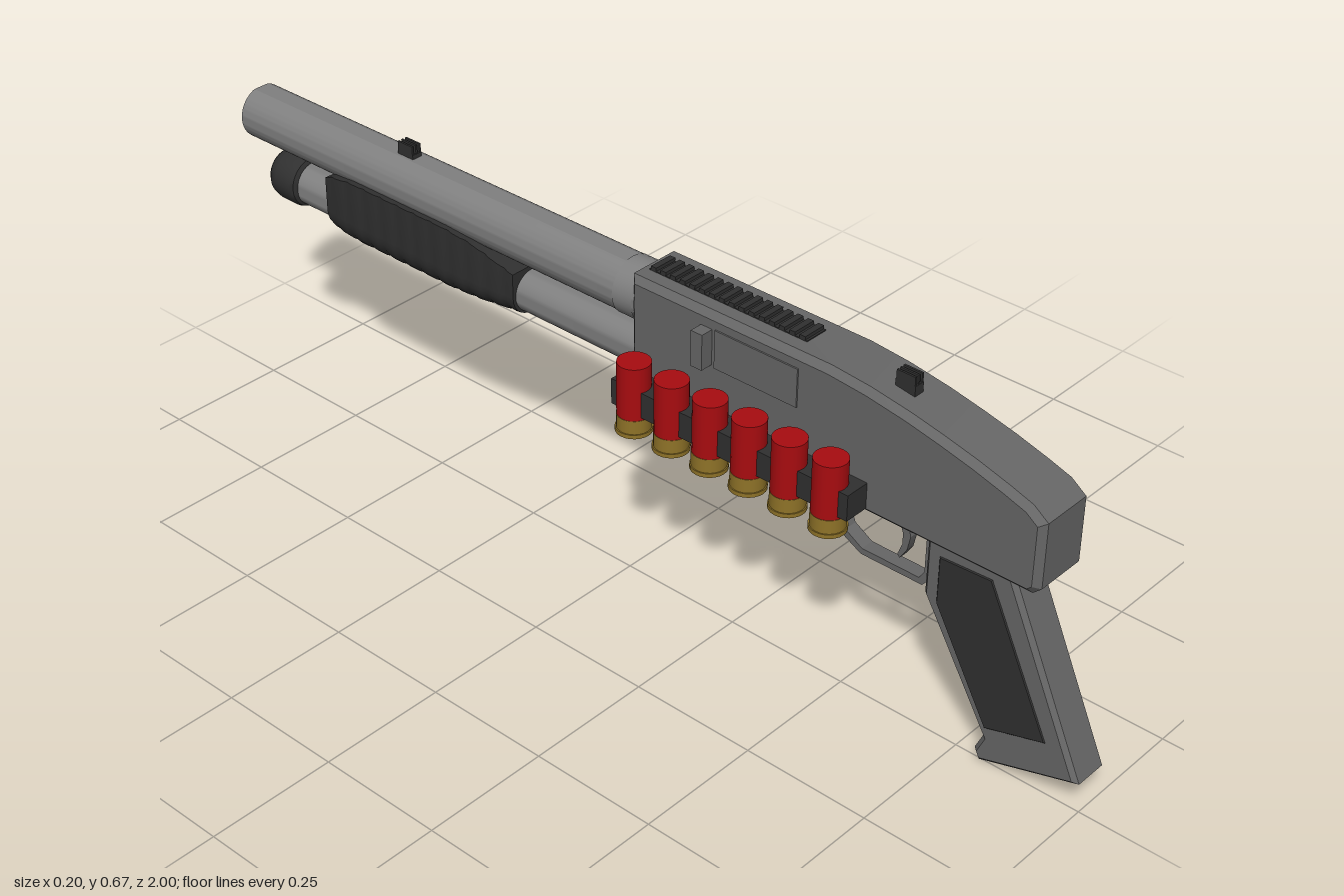
import * as THREE from 'three';
import { toCreasedNormals } from 'three/addons/utils/BufferGeometryUtils.js';

const mat = (color) => new THREE.MeshStandardMaterial({ color });
const body = mat(0x666666), steel = mat(0x808080), black = mat(0x303030);
const red = mat(0xa80c10), brass = mat(0x8f7328);
const CX = 0.03; // centre line of barrel, grip and sights
const RX = 0.035; // centre line of the receiver

export function createModel() {
  const root = new THREE.Group();

  function add(name, geo, material, x = 0, y = 0, z = 0, parent = root) {
    const m = new THREE.Mesh(geo, material);
    m.name = name;
    m.position.set(x, y, z);
    parent.add(m);
    return m;
  }
  const box = (name, m, x, y, z, w, h, d, parent) =>
    add(name, new THREE.BoxGeometry(w, h, d), m, x, y, z, parent);

  // Side outline of [z, y] points, given a width across x
  function slab(name, pts, width, bevel, m, x) {
    const shape = new THREE.Shape(pts.map(([z, y]) => new THREE.Vector2(z, y)));
    const geo = new THREE.ExtrudeGeometry(shape, {
      depth: width - 2 * bevel, bevelEnabled: bevel > 0, bevelSegments: 1,
      bevelSize: bevel, bevelThickness: bevel, bevelOffset: -bevel,
    });
    geo.translate(0, 0, bevel - width / 2).rotateY(-Math.PI / 2);
    return add(name, toCreasedNormals(geo, 0.4), m, x);
  }

  // Turned part lying along z; profile of [radius, z]
  function turned(name, profile, m, y) {
    const geo = new THREE.LatheGeometry(profile.map(([r, z]) => new THREE.Vector2(r, -z)), 32);
    geo.rotateX(-Math.PI / 2);
    return add(name, toCreasedNormals(geo, 0.6), m, CX, y);
  }

  // Receiver with its raised side panel
  const top = [[0.46, 0.65], [0.54, 0.643], [0.623, 0.63], [0.69, 0.616], [0.757, 0.6], [0.82, 0.582], [0.866, 0.567]];
  slab('receiver', [[0.024, 0.403], [0.88, 0.403], [0.896, 0.418], [0.896, 0.545], ...top.slice().reverse(), [0.024, 0.65]].reverse(),
    0.126, 0.012, body, RX);
  slab('sidePanel', [[0.035, 0.435], [0.872, 0.435], [0.872, 0.54], ...top.slice().reverse().map(([z, y]) => [z - 0.015, y - 0.025]), [0.035, 0.625]].reverse(),
    0.006, 0.002, body, 0.097);
  box('ejectionPort', body, -0.029, 0.585, 0.31, 0.004, 0.075, 0.18);
  box('boltHandle', body, -0.041, 0.585, 0.2, 0.026, 0.07, 0.025);

  // Serrated strip on top of the receiver
  const strip = new THREE.Group();
  strip.name = 'topStrip';
  root.add(strip);
  box('stripBase', black, RX, 0.65, 0.21, 0.049, 0.004, 0.35, strip);
  for (let i = 0; i < 16; i++) box('serration', black, RX, 0.654, 0.045 + i * 0.022, 0.049, 0.009, 0.012, strip);

  // Barrel: open tube with a flat along the top
  const outline = new THREE.Shape();
  const R = 0.054, flat = 0.32;
  outline.absarc(0, 0, R, Math.PI / 2 + flat, Math.PI * 2.5 - flat, false);
  outline.closePath();
  const bore = new THREE.Path();
  bore.absarc(0, 0, 0.042, 0, Math.PI * 2, true);
  outline.holes.push(bore);
  const barrel = new THREE.ExtrudeGeometry(outline, { depth: 1.03, bevelEnabled: false, curveSegments: 32 });
  add('barrel', toCreasedNormals(barrel, 0.3), steel, CX, 0.593, -1);
  turned('barrelCollar', [[0.0555, 0.025], [0.0555, -0.02], [0.05, -0.02]], steel, 0.592);

  // Magazine tube and its cap
  turned('magazineTube', [[0.042, 0.03], [0.042, -0.87]], steel, 0.48);
  turned('magazineCap', [[0.042, -0.862], [0.051, -0.866], [0.054, -0.875], [0.054, -0.915],
    [0.05, -0.932], [0.042, -0.942], [0, -0.945]], black, 0.485);

  // Pump grip: U-shaped section lofted along z, with ribs
  const keys = [[-0.27, 0.049, 0.53, 0.434], [-0.32, 0.053, 0.545, 0.428], [-0.37, 0.057, 0.56, 0.422], [-0.44, 0.06, 0.568, 0.418],
    [-0.69, 0.06, 0.568, 0.418], [-0.745, 0.058, 0.56, 0.422], [-0.765, 0.053, 0.55, 0.43]];
  const stations = [];
  const ribs = 44;
  for (let i = 0; i <= ribs; i++) {
    const z = -0.27 - 0.495 * i / ribs;
    let k = 0;
    while (k < keys.length - 2 && z < keys[k + 1][0]) k++;
    const t = (z - keys[k][0]) / (keys[k + 1][0] - keys[k][0]);
    const [, w, hi, lo] = keys[k].map((v, n) => v + (keys[k + 1][n] - v) * t);
    const dip = i % 4 === 2 ? 0.0025 : 0;
    stations.push([z, w - dip, hi, lo + dip]);
  }
  const pos = [], idx = [], N = 17;
  for (const [z, w, hi, lo] of stations) {
    pos.push(w, hi, z, -w, hi, z);
    for (let j = 0; j < N - 2; j++) {
      const a = Math.PI + Math.PI * j / (N - 3);
      pos.push(w * Math.cos(a), 0.48 + (0.48 - lo) * Math.sin(a), z);
    }
  }
  for (let i = 0; i < ribs; i++) for (let j = 0; j < N; j++) {
    const a = i * N + j, b = i * N + (j + 1) % N;
    idx.push(a, a + N, b, b, a + N, b + N);
  }
  for (let j = 1; j < N - 1; j++) {
    idx.push(0, j, j + 1);
    idx.push(ribs * N, ribs * N + j + 1, ribs * N + j);
  }
  const pump = new THREE.BufferGeometry();
  pump.setAttribute('position', new THREE.Float32BufferAttribute(pos, 3));
  pump.setIndex(idx);
  add('pumpGrip', toCreasedNormals(pump, 0.5), black, CX);

  // Rear grip with dark plates on both sides
  slab('grip', [[0.837, 0.41], [0.997, 0.064], [0.8, 0.005], [0.79, 0.026], [0.805, 0.06], [0.666, 0.29], [0.666, 0.41]],
    0.082, 0.008, body, CX);
  for (const s of [-1, 1]) {
    slab('gripPlate', [[0.8, 0.385], [0.93, 0.118], [0.81, 0.083], [0.695, 0.285], [0.695, 0.38]],
      0.006, 0.002, black, CX + s * 0.04);
  }

  // Trigger and guard
  slab('triggerGuard', [[0.66, 0.41], [0.66, 0.3], [0.645, 0.281], [0.515, 0.281], [0.47, 0.305], [0.454, 0.34], [0.443, 0.41],
    [0.456, 0.41], [0.466, 0.345], [0.48, 0.315], [0.517, 0.293], [0.638, 0.293], [0.648, 0.31], [0.648, 0.41]], 0.028, 0, body, CX);
  slab('trigger', [[0.6, 0.41], [0.612, 0.36], [0.606, 0.33], [0.592, 0.308], [0.587, 0.314], [0.596, 0.338], [0.596, 0.36], [0.578, 0.41]],
    0.018, 0, body, CX);

  // Sights: base with three prongs
  for (const [name, z] of [['rearSight', 0.582], ['frontSight', -0.582]]) {
    const sight = new THREE.Group();
    sight.name = name;
    root.add(sight);
    box('sightBase', black, CX, 0.642, z, 0.022, 0.022, 0.04, sight);
    for (const dx of [-0.009, 0, 0.009]) box('sightProng', black, CX + dx, 0.66, z, 0.004, 0.02, 0.038, sight);
  }

  // Shell holder with six shells
  box('shellHolder', black, -0.053, 0.441, 0.29, 0.051, 0.051, 0.525);
  const holderShells = new THREE.Group();
  holderShells.name = 'shells';
  root.add(holderShells);
  for (let i = 0; i < 6; i++) {
    const z = 0.07 + i * 0.087;
    const cyl = (name, m, r, y0, y1) =>
      add(name, new THREE.CylinderGeometry(r, r, y1 - y0, 24), m, -0.066, (y0 + y1) / 2, z, holderShells);
    cyl('shellCase', red, 0.031, 0.41, 0.515);
    cyl('shellBase', brass, 0.0318, 0.382, 0.41);
    cyl('shellRim', brass, 0.034, 0.375, 0.383);
  }
  return root;
}
